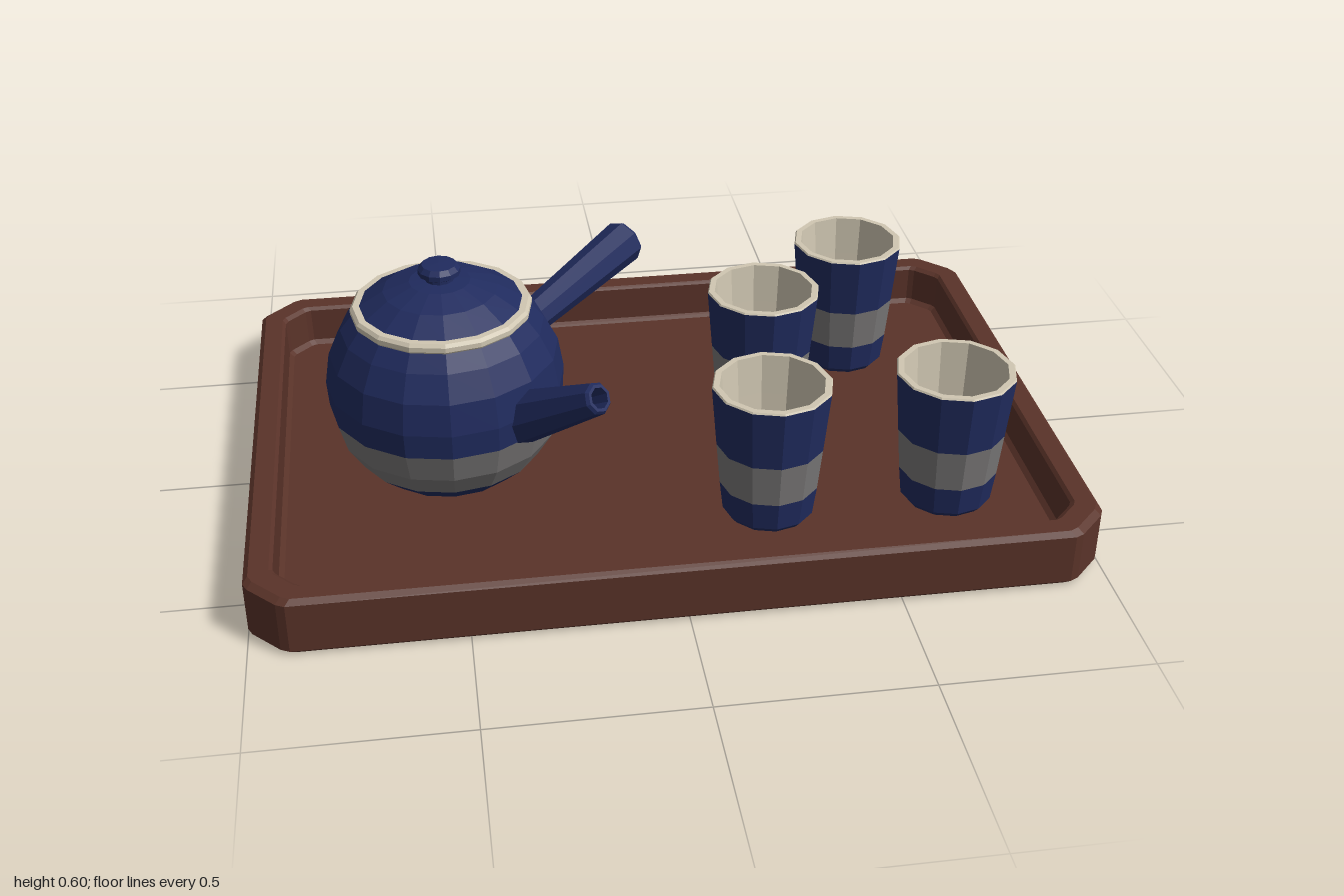
import * as THREE from 'three';

const mat = (name, color) => Object.assign(new THREE.MeshStandardMaterial({ color }), { name });

// Split vertices so every facet keeps its own normal
function facet(geometry) {
  const g = geometry.index ? geometry.toNonIndexed() : geometry;
  g.computeVertexNormals();
  return g;
}

function lathe(name, points, sides, material) {
  const profile = points.map(([r, y]) => new THREE.Vector2(r, y));
  const mesh = new THREE.Mesh(facet(new THREE.LatheGeometry(profile, sides)), material);
  mesh.name = name;
  return mesh;
}

// Rectangle with cut corners, listed anticlockwise seen from above
function ring(halfX, halfZ, cut, y) {
  const a = halfX - cut, b = halfZ - cut;
  const k = cut * 0.12; // slight softening of each corner
  const corner = [[halfX, b - k], [halfX - k, b + k], [a + k, halfZ - k], [a - k, halfZ]];
  const back = [...corner].reverse();
  return [
    ...back.map(([x, z]) => [x, y, z]),
    ...corner.map(([x, z]) => [x, y, -z]),
    ...back.map(([x, z]) => [-x, y, -z]),
    ...corner.map(([x, z]) => [-x, y, z]),
  ];
}

// Tray skinned from the underside, over the rim and down to the floor
function buildTray(material) {
  // inset, corner cut, height
  const levels = [
    [0.012, 0.085, 0], [0, 0.085, 0.012], [0, 0.085, 0.138], [0.012, 0.085, 0.15],
    [0.058, 0.06, 0.15], [0.066, 0.06, 0.142], [0.068, 0.06, 0.05], [0.08, 0.055, 0.04],
  ];
  const rings = levels.map(([inset, cut, y]) => ring(1 - inset, 0.7 - inset, cut, y));
  const n = rings[0].length;
  const pos = [];
  const cap = (r, up) => {
    const c = [0, r[0][1], 0];
    for (let i = 0; i < n; i++) {
      const p = r[i], q = r[(i + 1) % n];
      pos.push(...c, ...(up ? p : q), ...(up ? q : p));
    }
  };
  cap(rings[0], false);
  for (let l = 0; l + 1 < rings.length; l++) {
    for (let i = 0; i < n; i++) {
      const j = (i + 1) % n;
      const [a, b, c, d] = [rings[l][i], rings[l][j], rings[l + 1][j], rings[l + 1][i]];
      pos.push(...a, ...b, ...c, ...a, ...c, ...d);
    }
  }
  cap(rings[rings.length - 1], true);
  const g = new THREE.BufferGeometry();
  g.setAttribute('position', new THREE.Float32BufferAttribute(pos, 3));
  g.computeVertexNormals();
  const tray = new THREE.Mesh(g, material);
  tray.name = 'tray';
  return tray;
}

// Hollow tapered tube between two points
function hollowTube(name, from, to, r0, r1, wall, depth, sides, material) {
  const a = new THREE.Vector3(...from), dir = new THREE.Vector3(...to).sub(a);
  const len = dir.length();
  const mesh = lathe(name, [
    [0, 0], [r0, 0], [r1, len - 0.008], [r1 - 0.006, len],
    [r1 - wall, len], [r1 - wall - 0.004, len - depth], [0, len - depth],
  ], sides, material);
  mesh.position.copy(a);
  mesh.quaternion.setFromUnitVectors(new THREE.Vector3(0, 1, 0), dir.normalize());
  return mesh;
}

function buildCup(blue, cream, grey) {
  const cup = new THREE.Group();
  const sides = 12;
  cup.add(
    lathe('cupBase', [[0, 0.04], [0.1, 0.04], [0.113, 0.055], [0.122, 0.13]], sides, blue),
    lathe('cupBand', [[0.122, 0.13], [0.132, 0.24]], sides, grey),
    lathe('cupUpper', [[0.132, 0.24], [0.146, 0.398]], sides, blue),
    lathe('cupInside', [[0.146, 0.398], [0.143, 0.402], [0.128, 0.402], [0.12, 0.3],
      [0.102, 0.085], [0.09, 0.07], [0, 0.07]], sides, cream),
  );
  return cup;
}

function buildTeapot(blue, cream, grey) {
  const pot = new THREE.Group();
  pot.name = 'teapot';
  const sides = 16;
  const body = new THREE.Group();
  body.name = 'potBody';
  body.add(
    lathe('potBase', [[0, 0.04], [0.18, 0.04], [0.235, 0.09]], sides, blue),
    lathe('potBand', [[0.235, 0.09], [0.272, 0.15], [0.292, 0.225]], sides, grey),
    lathe('potUpper', [[0.292, 0.225], [0.296, 0.29], [0.283, 0.37], [0.25, 0.435],
      [0.218, 0.475], [0.2, 0.475]], sides, blue),
    lathe('lidRing', [[0.19, 0.47], [0.217, 0.47], [0.222, 0.478], [0.222, 0.49],
      [0.215, 0.498], [0.19, 0.498]], sides, cream),
    lathe('lid', [[0.202, 0.496], [0.14, 0.534], [0.075, 0.556], [0, 0.562]], sides, blue),
    lathe('lidKnob', [[0.036, 0.555], [0.036, 0.567], [0.052, 0.576], [0.052, 0.588],
      [0.042, 0.6], [0, 0.602]], 12, blue),
  );
  body.position.set(-0.51, 0, 0.01);
  pot.add(
    body,
    hollowTube('handle', [-0.36, 0.285, -0.13], [0.008, 0.388, -0.468], 0.04, 0.06, 0.02, 0.04, 8, blue),
    hollowTube('spout', [-0.37, 0.235, 0.16], [-0.165, 0.412, 0.375], 0.075, 0.04, 0.014, 0.06, 8, blue),
  );
  return pot;
}

export function createModel() {
  const wood = mat('dark wood', 0x5a3329);
  const blue = mat('blue glaze', 0x202b5e);
  const cream = mat('cream glaze', 0xd0c7b2);
  const grey = mat('speckled grey glaze', 0x787676);

  const model = new THREE.Group();
  model.name = 'teaSet';
  model.add(buildTray(wood), buildTeapot(blue, cream, grey));

  // Four cups on the right of the tray
  [[0.6, -0.357], [0.32, -0.115], [0.25, 0.347], [0.698, 0.347]].forEach(([x, z], i) => {
    const cup = buildCup(blue, cream, grey);
    cup.name = `cup${i + 1}`;
    cup.position.set(x, 0, z);
    model.add(cup);
  });
  return model;
}
